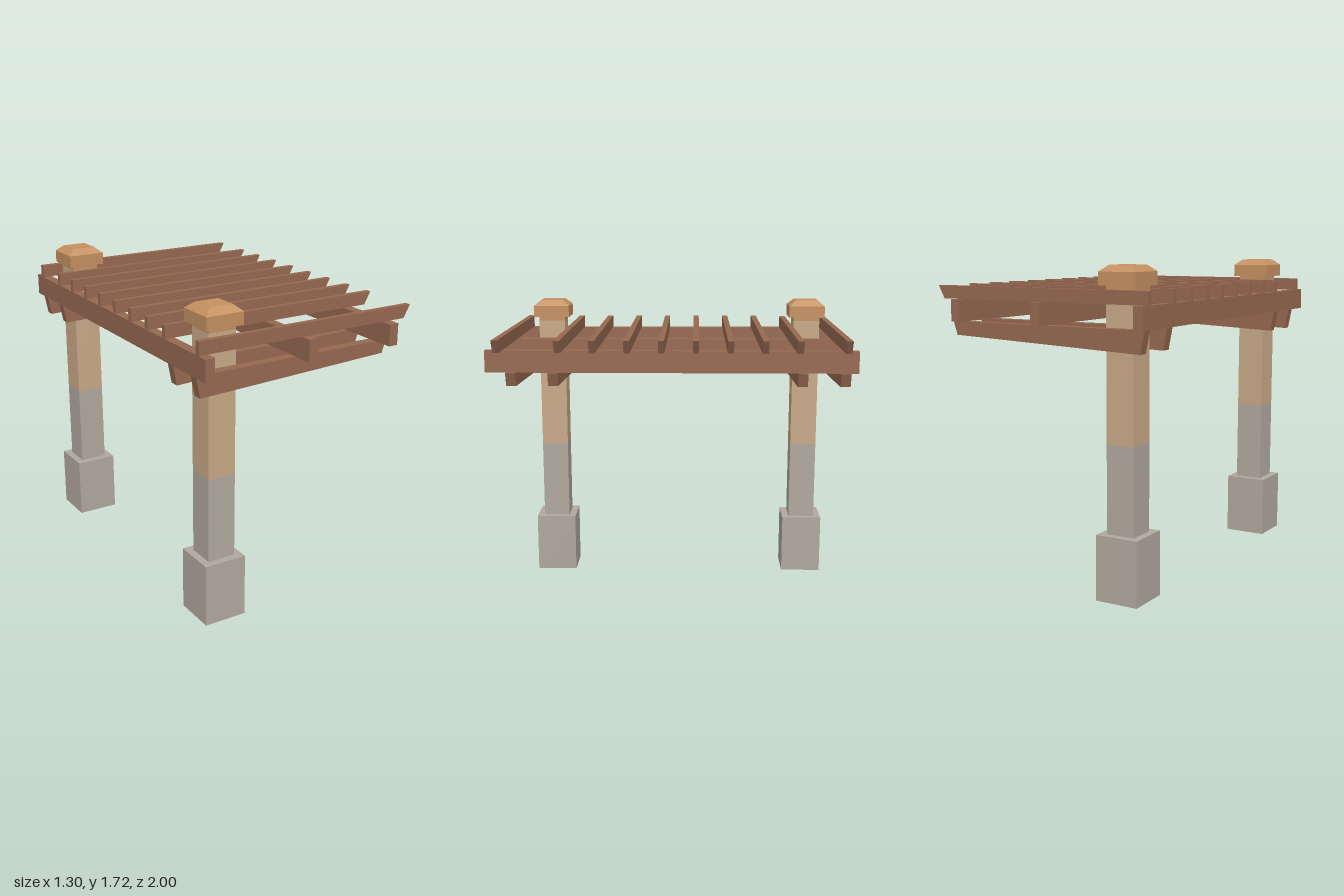
import * as THREE from 'three';

const mat = (name, color) => {
  const m = new THREE.MeshStandardMaterial({ color });
  m.name = name;
  return m;
};

export function createModel() {
  const group = new THREE.Group();
  group.name = 'pergola';
  const stone = mat('grey stone', 0xb0a89d);
  const plaster = mat('tan plaster', 0xc8a987);
  const capWood = mat('orange cap', 0xc49060);
  const timber = mat('brown timber', 0x966850);

  const add = (parent, name, geometry, material, x, y, z) => {
    const mesh = new THREE.Mesh(geometry, material);
    mesh.name = name;
    mesh.position.set(x, y, z);
    parent.add(mesh);
    return mesh;
  };
  // Square block standing on y0
  const block = (parent, name, width, y0, y1, material) =>
    add(parent, name, new THREE.BoxGeometry(width, y1 - y0, width), material, 0, (y0 + y1) / 2, 0);

  // Side profile in x and y, extruded along z and centred on it
  const plank = (points, depth) => {
    const shape = new THREE.Shape(points.map(([x, y]) => new THREE.Vector2(x, y)));
    const geometry = new THREE.ExtrudeGeometry(shape, { depth, bevelEnabled: false });
    return geometry.translate(0, 0, -depth / 2);
  };

  // Chamfered top of the post cap
  let capTopGeometry = new THREE.CylinderGeometry(0.068 * Math.SQRT2, 0.107 * Math.SQRT2, 0.033, 4);
  capTopGeometry.rotateY(Math.PI / 4);
  capTopGeometry = capTopGeometry.toNonIndexed();
  capTopGeometry.computeVertexNormals();

  // Two posts: plinth, two-tone shaft, neck and cap
  for (const z of [0.755, -0.807]) {
    const post = new THREE.Group();
    post.name = 'post';
    post.position.set(-0.455, 0, z);
    block(post, 'plinth', 0.241, 0, 0.35, stone);
    block(post, 'lowerShaft', 0.158, 0.35, 0.818, stone);
    block(post, 'upperShaft', 0.158, 0.818, 1.593, plaster);
    block(post, 'neck', 0.158, 1.593, 1.617, capWood);
    block(post, 'cap', 0.214, 1.617, 1.685, capWood);
    add(post, 'capTop', capTopGeometry, capWood, 0, 1.7015, 0);
    group.add(post);
  }

  // Tapered beams clamping each post on both sides
  const bracketGeometry = plank([[-0.614, 1.292], [0.518, 1.337], [0.542, 1.41], [-0.637, 1.41]], 0.054);
  for (const z of [0.861, 0.635, -0.703, -0.931]) add(group, 'clampBeam', bracketGeometry, timber, 0, 0, z);

  // Long beams running front to back
  const beamGeometry = new THREE.BoxGeometry(0.054, 0.118, 2);
  for (const x of [-0.625, -0.022, 0.495]) add(group, 'longBeam', beamGeometry, timber, x, 1.469, 0);

  // Slats on top, cut at an angle on the open side
  const slatGeometry = plank([[-0.65, 1.528], [0.612, 1.528], [0.65, 1.598], [-0.65, 1.598]], 0.032);
  const slatZ = [0.922, -0.93];
  for (let i = 0; i < 8; i++) slatZ.push(0.597 - i * 0.1822);
  for (const z of slatZ) add(group, 'slat', slatGeometry, timber, 0, 0, z);

  return group;
}
